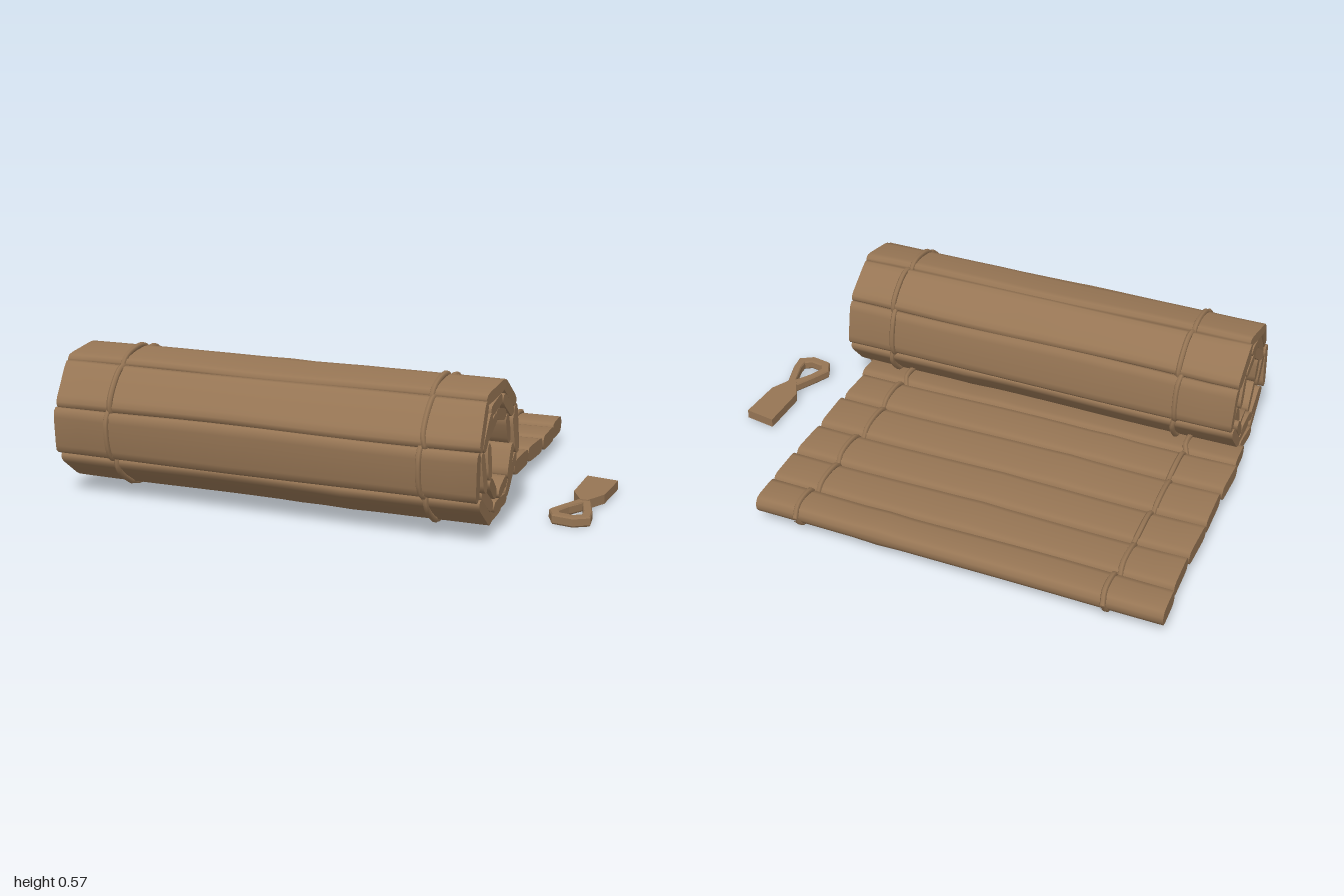
import * as THREE from 'three';
import { toCreasedNormals } from 'three/addons/utils/BufferGeometryUtils.js';

const bamboo = new THREE.MeshStandardMaterial({ color: 0x967554 });
bamboo.name = 'bamboo brown';

// Small seeded generator, returns -1..1
let seed = 7;
const jitter = () => {
  seed = (seed * 16807) % 2147483647;
  return (seed / 2147483647) * 2 - 1;
};

const ROLL = { z: 0.463, y: 0.297 };

// Joints between slats as (z, y): flat run first, then a spiral of three turns
function slatJoints() {
  const joints = [[-0.74, 0.08], [-0.588, 0.08], [-0.4, 0.082], [-0.205, 0.087],
    [0, 0.093], [0.19, 0.095], [0.36, 0.072]].map(([z, y]) => new THREE.Vector2(z, y));
  const turns = [{ n: 8, r: 0.247 }, { n: 8, r: 0.196 }, { n: 7, r: 0.151 }];
  turns.forEach(({ n, r }, k) => {
    const next = turns[k + 1] ? turns[k + 1].r : r;
    for (let i = 0; i < n; i++) {
      const a = 0.26 + (i / n) * Math.PI * 2;
      const rad = THREE.MathUtils.lerp(r, next, THREE.MathUtils.smoothstep(i / n, 0.76, 1.05));
      joints.push(new THREE.Vector2(ROLL.z + Math.sin(a) * rad, ROLL.y - Math.cos(a) * rad));
    }
  });
  const a = 0.26, r = 0.151;
  joints.push(new THREE.Vector2(ROLL.z + Math.sin(a) * r, ROLL.y - Math.cos(a) * r));
  return joints;
}

// Rounded slat section extruded along x, slightly warped, with a bamboo node and uneven ends
function slatGeometry(slat) {
  const { mid, tangent, normal, width, thick, length, cx } = slat;
  const h = width / 2, t = thick / 2;
  const quarter = [[h, 0.3 * t], [h - 0.012, 0.85 * t], [h - 0.035, t]];
  const pts = [
    ...quarter,
    ...quarter.map(([u, v]) => [-u, v]).reverse(),
    ...quarter.map(([u, v]) => [-u, -v]),
    ...quarter.map(([u, v]) => [u, -v]).reverse()
  ].map(([u, v]) => new THREE.Vector2(u, v));
  const geo = new THREE.ExtrudeGeometry(new THREE.Shape(pts), { depth: length, steps: 16, bevelEnabled: false });
  const phase = jitter() * 3, node = jitter() * 0.35, skew = jitter() * 0.08, shift = jitter() * 0.01;
  const p = geo.attributes.position;
  for (let i = 0; i < p.count; i++) {
    const w = p.getZ(i) - length / 2;
    const bump = 1 + 0.14 * Math.exp(-(((w - node) / 0.05) ** 2));
    const u = p.getX(i) * (1 + 0.025 * Math.sin(w * 5 + phase));
    const v = p.getY(i) * bump + 0.002 * Math.sin(w * 6 + phase);
    const end = Math.abs(w) > length / 2 - 0.001 ? skew * u : 0;
    p.setXYZ(i, cx + w + shift + end,
      mid.y - tangent.y * u + normal.y * v,
      mid.x - tangent.x * u + normal.x * v);
  }
  return toCreasedNormals(geo, 0.9);
}

function tube(points, radius, closed, segments) {
  const curve = new THREE.CatmullRomCurve3(points, closed);
  return new THREE.TubeGeometry(curve, segments, radius, 6, closed);
}

export function createModel() {
  const model = new THREE.Group();
  const add = (name, geo, parent = model) => {
    const mesh = new THREE.Mesh(geo, bamboo);
    mesh.name = name;
    parent.add(mesh);
    return mesh;
  };

  // Slat layout along the path
  const joints = slatJoints();
  const slats = [];
  for (let i = 0; i < joints.length - 1; i++) {
    const a = joints[i], b = joints[i + 1];
    const tangent = b.clone().sub(a).normalize();
    const rolled = THREE.MathUtils.smoothstep(i, 4, 7);
    slats.push({
      mid: a.clone().add(b).multiplyScalar(0.5),
      tangent,
      normal: new THREE.Vector2(-tangent.y, tangent.x),
      width: a.distanceTo(b) - 0.003,
      thick: i === 0 ? 0.07 : THREE.MathUtils.lerp(0.062, 0.042, rolled),
      length: THREE.MathUtils.lerp(1.61, 1.65, rolled),
      cx: THREE.MathUtils.lerp(-0.183, -0.12, rolled)
    });
  }
  const slatGroup = new THREE.Group();
  slatGroup.name = 'slats';
  model.add(slatGroup);
  slats.forEach((s, i) => add(i < 6 ? 'flatSlat' : 'rolledSlat', slatGeometry(s), slatGroup));

  // Two woven bindings, each of two strands passing over and under every slat
  const cords = new THREE.Group();
  cords.name = 'bindings';
  model.add(cords);
  for (const offset of [-0.595, 0.625]) {
    for (const side of [1, -1]) {
      const first = slats[0];
      const points = [new THREE.Vector3(first.cx + offset, 0.08, -0.748)];
      slats.forEach((s, i) => {
        const out = side * (i % 2 ? -1 : 1) * (s.thick / 2 + 0.006);
        const x = s.cx + offset + side * 0.005 + jitter() * 0.005;
        for (const f of [-0.32, 0.32]) {
          points.push(new THREE.Vector3(x,
            s.mid.y + s.normal.y * out + s.tangent.y * s.width * f,
            s.mid.x + s.normal.x * out + s.tangent.x * s.width * f));
        }
        const j = joints[i + 1];
        points.push(new THREE.Vector3(x, j.y, j.x));
      });
      add('bindingStrand', tube(points, 0.011, false, slats.length * 10), cords);
    }
    // Knot under the first slat
    const knot = add('bindingKnot', new THREE.SphereGeometry(0.022, 8, 6), cords);
    knot.position.set(slats[0].cx + offset, 0.042, -0.69);
    knot.scale.set(1, 0.8, 1.5);
  }

  // Core plug closing the middle of the roll
  const core = add('rollCore', new THREE.CylinderGeometry(0.135, 0.135, 0.03, 7));
  core.rotation.z = Math.PI / 2;
  core.position.set(-0.55, ROLL.y, ROLL.z);

  // Tag lying beside the roll: a small slip of bamboo narrowing to a neck
  const outline = [[0.87, 0.175], [0.995, 0.155], [0.987, -0.03], [0.945, -0.115],
    [0.915, -0.115], [0.87, -0.03]].map(([x, y]) => new THREE.Vector2(x, y));
  const tagGeo = new THREE.ExtrudeGeometry(new THREE.Shape(outline), { depth: 0.036, bevelEnabled: false });
  tagGeo.rotateX(-Math.PI / 2);
  tagGeo.translate(0, 0.008, 0);
  add('tag', tagGeo);

  // Cord loop on the tag, an angular teardrop
  const outer = [[0.912, -0.1], [0.868, -0.185], [0.838, -0.25], [0.862, -0.305], [0.94, -0.318],
    [0.993, -0.285], [0.985, -0.225], [0.948, -0.1]];
  const inner = [[0.93, -0.128], [0.89, -0.19], [0.865, -0.25], [0.882, -0.28], [0.935, -0.289],
    [0.963, -0.27], [0.96, -0.23]];
  const loopShape = new THREE.Shape(outer.map(([x, y]) => new THREE.Vector2(x, y)));
  loopShape.holes.push(new THREE.Path(inner.map(([x, y]) => new THREE.Vector2(x, y))));
  const loopGeo = new THREE.ExtrudeGeometry(loopShape, {
    depth: 0.026, bevelThickness: 0.006, bevelSize: 0.004, bevelSegments: 1
  });
  loopGeo.rotateX(-Math.PI / 2);
  loopGeo.translate(0, 0.008, 0);
  add('tagLoop', loopGeo);

  return model;
}
